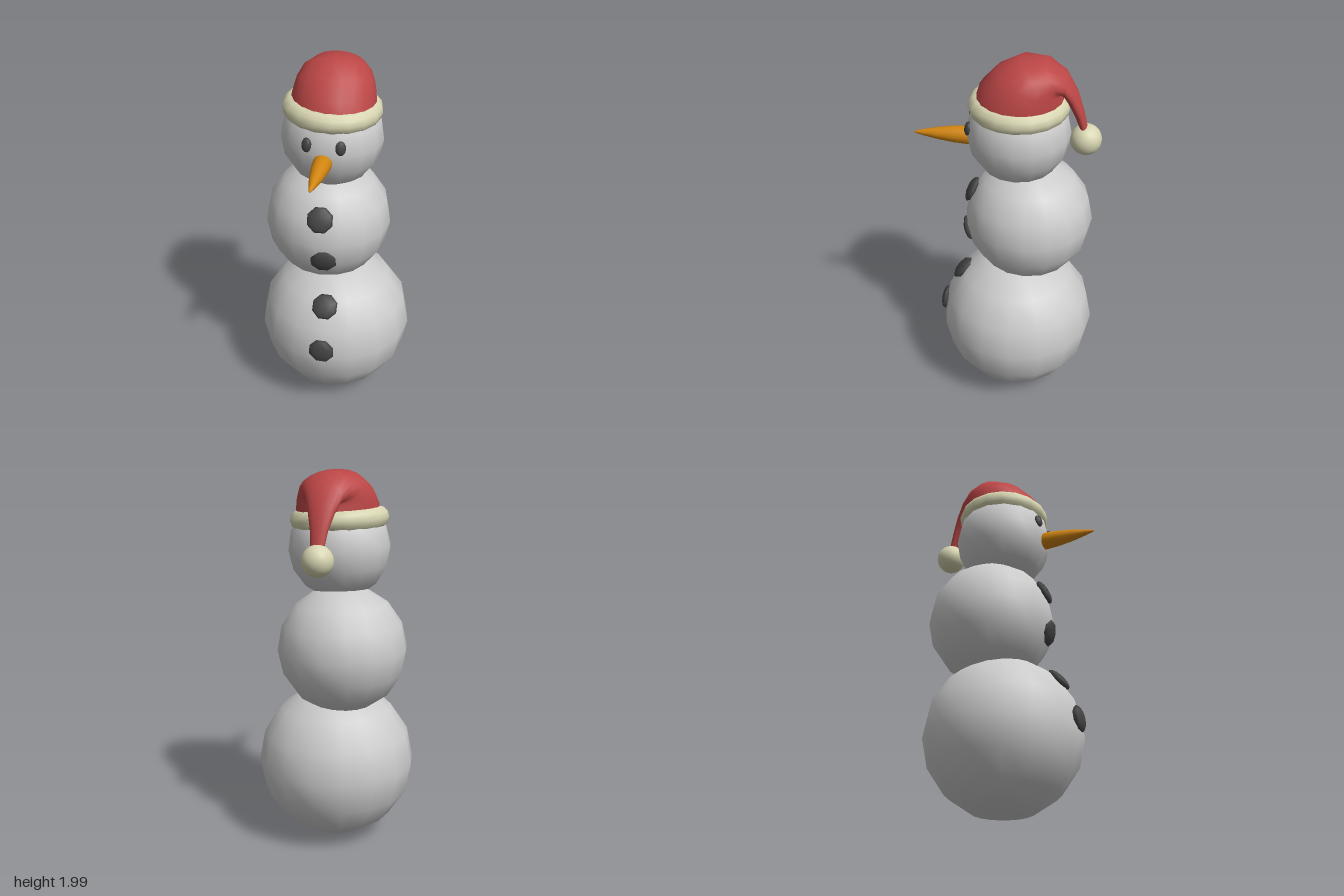
import * as THREE from 'three';

const mat = (color, side = THREE.FrontSide) => new THREE.MeshStandardMaterial({ color, side });

export function createModel() {
  const model = new THREE.Group();
  const snow = mat(0xcccccc), coal = mat(0x444444), cream = mat(0xd6d4b0);
  const red = mat(0xbc4646, THREE.DoubleSide), orange = mat(0xd2850f);

  const add = (name, geometry, material, x = 0, y = 0, z = 0) => {
    const mesh = new THREE.Mesh(geometry, material);
    mesh.name = name;
    mesh.position.set(x, y, z);
    model.add(mesh);
    return mesh;
  };

  // Three stacked snowballs, each a little off axis
  const ball = (name, r, x, y, z, tilt) => {
    const mesh = add(name, new THREE.SphereGeometry(r, 16, 8), snow, x, y, z);
    mesh.rotation.z = tilt;
    return { r, c: mesh.position };
  };
  const base = ball('baseBall', 0.425, 0, 0.428, -0.063, 0);
  const torso = ball('torsoBall', 0.344, -0.052, 1.07, -0.115, -0.02);
  const head = ball('headBall', 0.268, -0.018, 1.595, -0.06, -0.05);

  // Flattened coal lump lying on the front of a snowball at the given x, y
  const lump = (name, on, x, y, rx, ry, depth, sides) => {
    const dx = x - on.c.x, dy = y - on.c.y;
    const normal = new THREE.Vector3(dx, dy, Math.sqrt(on.r ** 2 - dx * dx - dy * dy));
    const geometry = new THREE.SphereGeometry(1, sides, 6);
    geometry.rotateY(Math.PI / sides).rotateX(Math.PI / 2).scale(rx, ry, depth);
    const p = normal.clone().multiplyScalar(0.99).add(on.c);
    const mesh = add(name, geometry, coal, p.x, p.y, p.z);
    mesh.lookAt(p.add(normal));
  };
  [[torso, -0.035, 1.22], [torso, -0.015, 0.975], [base, 0, 0.71], [base, 0, 0.48]]
    .forEach(([on, x, y], i) => lump('button' + (i + 1), on, x, y, 0.072, 0.072, 0.026, 8));
  lump('rightEye', head, -0.1, 1.643, 0.027, 0.038, 0.018, 12);
  lump('leftEye', head, 0.072, 1.638, 0.027, 0.038, 0.018, 12);

  // Carrot nose
  const carrot = [[0, 0], [0.046, 0], [0.048, 0.06], [0.043, 0.13], [0.032, 0.21], [0.016, 0.29], [0.006, 0.33], [0, 0.337]]
    .map(([r, h]) => new THREE.Vector2(r, h));
  add('carrotNose', new THREE.LatheGeometry(carrot, 16).rotateX(Math.PI / 2), orange, -0.017, 1.555, 0.148);

  // Fur band around the hat
  const band = new THREE.TorusGeometry(0.2, 0.057, 12, 18).rotateX(Math.PI / 2);
  add('hatBand', band, cream, -0.018, 1.745, -0.06).rotation.z = -0.05;

  // Floppy hat: oval sections given as outer (z, y), inner (z, y) and half width
  const sections = [
    [0.17, 1.74, -0.285, 1.74, 0.222],
    [0.135, 1.85, -0.285, 1.79, 0.213],
    [0.05, 1.94, -0.28, 1.81, 0.198],
    [-0.06, 1.995, -0.275, 1.825, 0.172],
    [-0.19, 1.99, -0.275, 1.828, 0.134],
    [-0.29, 1.93, -0.285, 1.81, 0.097],
    [-0.35, 1.83, -0.305, 1.77, 0.07],
    [-0.387, 1.72, -0.34, 1.7, 0.046],
    [-0.415, 1.6, -0.385, 1.59, 0.03],
  ];
  const n = 20, positions = [], index = [];
  sections.forEach(([zo, yo, zi, yi, w], s) => {
    for (let i = 0; i < n; i++) {
      const a = (i / n) * Math.PI * 2, t = (1 + Math.cos(a)) / 2;
      positions.push(-0.012 + w * Math.sin(a), yi + (yo - yi) * t, zi + (zo - zi) * t);
      if (s === 0) continue;
      const p = (s - 1) * n, q = s * n, j = (i + 1) % n;
      index.push(p + i, p + j, q + i, p + j, q + j, q + i);
    }
  });
  const hat = new THREE.BufferGeometry();
  hat.setAttribute('position', new THREE.Float32BufferAttribute(positions, 3));
  hat.setIndex(index);
  hat.computeVertexNormals();
  add('hat', hat, red);

  // Pompom on the hanging tip
  add('pompom', new THREE.SphereGeometry(0.081, 20, 14), cream, -0.017, 1.57, -0.4);

  return model;
}
